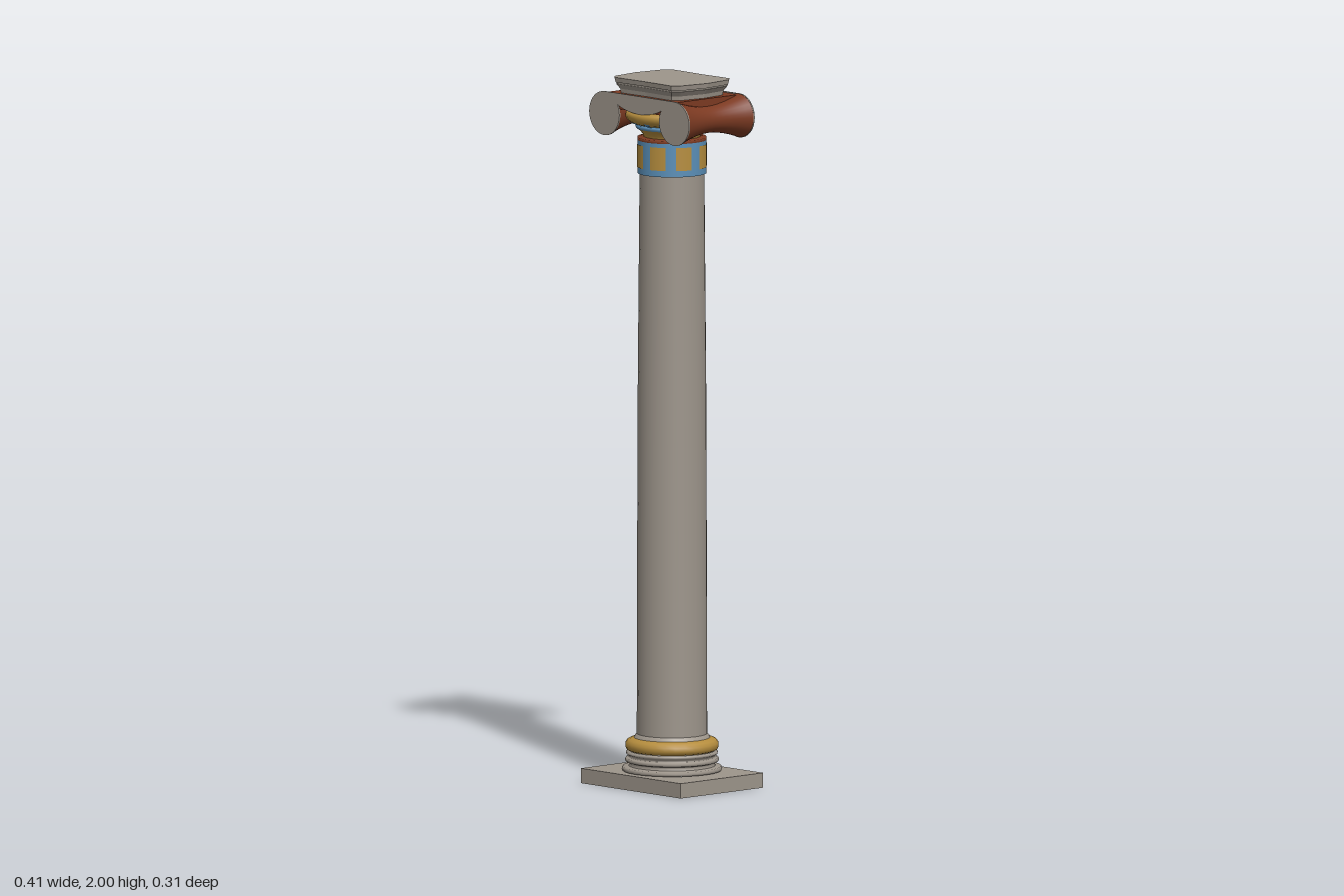
import * as THREE from 'three';

export function createModel() {
  const root = new THREE.Group();
  const mat = (name, color, side = THREE.FrontSide) => {
    const m = new THREE.MeshStandardMaterial({ color, side });
    m.name = name;
    return m;
  };
  const stone = mat('stone grey', 0x9d958b, THREE.DoubleSide);
  const gold = mat('ochre gold', 0xb58d3e, THREE.DoubleSide);
  const blue = mat('faded blue', 0x5a8fb8, THREE.DoubleSide);
  const red = mat('terracotta red', 0x7c3a22, THREE.DoubleSide);

  const add = (name, geometry, material, parent = root) => {
    const m = new THREE.Mesh(geometry, material);
    m.name = name;
    parent.add(m);
    return m;
  };
  // Turned part from [radius, height] pairs
  const turned = (name, pts, material, start = 0, sweep = Math.PI * 2, seg = 28) =>
    add(name, new THREE.LatheGeometry(pts.map(p => new THREE.Vector2(...p)), seg, start, sweep), material);

  // Plinth: hollow below, with a round opening under the column
  const W = 0.206, D = 0.157, H = 0.042;
  const top = new THREE.Shape([[-W, -D], [W, -D], [W, D], [-W, D]].map(p => new THREE.Vector2(...p)));
  top.holes.push(new THREE.Path().absarc(0, 0, 0.125, 0, Math.PI * 2, true));
  add('plinthTop', new THREE.ShapeGeometry(top, 24).rotateX(-Math.PI / 2).translate(0, H, 0), stone);
  for (const s of [-1, 1]) {
    const turn = s > 0 ? 0 : Math.PI;
    add('plinthSide', new THREE.PlaneGeometry(2 * W, H).translate(0, H / 2, D).rotateY(turn), stone);
    add('plinthSide', new THREE.PlaneGeometry(2 * D, H).translate(0, H / 2, W).rotateY(turn + Math.PI / 2), stone);
  }

  // Base mouldings, each ring with its own profile so that edges stay crisp
  turned('lowerBaseRing', [[0.125, 0.042], [0.139, 0.044], [0.141, 0.05], [0.138, 0.056], [0.122, 0.058]], stone);
  turned('baseHollow', [[0.122, 0.058], [0.119, 0.064], [0.122, 0.068]], stone);
  turned('middleBaseRing', [[0.122, 0.068], [0.13, 0.07], [0.132, 0.075], [0.13, 0.08], [0.122, 0.082]], stone);
  turned('upperBaseRing', [[0.122, 0.082], [0.119, 0.086], [0.128, 0.091], [0.129, 0.097], [0.12, 0.1]], stone);
  turned('goldBaseTorus', [[0.118, 0.1], [0.127, 0.104], [0.131, 0.112], [0.131, 0.122], [0.125, 0.131], [0.114, 0.136], [0.104, 0.138]], gold);
  turned('baseFillet', [[0.108, 0.136], [0.104, 0.143], [0.099, 0.148]], stone);

  // Tapering shaft
  turned('shaft', [[0.099, 0.146], [0.098, 0.6], [0.096, 1.15], [0.091, 1.74]], stone);

  // Painted neck with gold panels
  turned('neckUnderside', [[0.088, 1.732], [0.097, 1.732]], blue);
  turned('neckBand', [[0.097, 1.732], [0.097, 1.826]], blue);
  for (let i = 0; i < 8; i++) {
    const a = (i + 0.5) * Math.PI / 4, half = 0.24;
    turned('neckPanel', [[0.0985, 1.75], [0.0985, 1.815]], gold, a - half, half * 2, 5);
  }
  turned('redNeckRing', [[0.095, 1.826], [0.097, 1.826], [0.097, 1.834], [0.08, 1.836]], red);

  // Capital bowl
  turned('lowerBowl', [[0.08, 1.836], [0.082, 1.843], [0.089, 1.852], [0.099, 1.859]], gold);
  turned('blueBowlRing', [[0.099, 1.859], [0.102, 1.863], [0.102, 1.868], [0.098, 1.871]], blue);
  turned('upperBowl', [[0.098, 1.871], [0.114, 1.876], [0.126, 1.885], [0.131, 1.895], [0.129, 1.905], [0.118, 1.911], [0, 1.912]], gold);
  for (let i = 0; i < 16; i++) {
    turned('bowlPatch', [[0.101, 1.87], [0.115, 1.875], [0.1235, 1.8815]], blue, i * Math.PI / 8 + 0.12, 0.15, 3);
  }

  // Scrolled plates on front and back, with waisted bolsters between
  const cx = 0.144, cy = 1.897, R = 0.062, Z = 0.123, up = cy + R, end = Math.PI * 5 / 6;
  const plate = new THREE.Shape();
  plate.moveTo(-cx, up);
  plate.lineTo(cx, up);
  plate.absarc(cx, cy, R, Math.PI / 2, end, true);
  plate.quadraticCurveTo(0.06, 1.91, 0, 1.908);
  plate.quadraticCurveTo(-0.06, 1.91, -cx - R * Math.cos(end), cy + R * Math.sin(end));
  plate.absarc(-cx, cy, R, Math.PI - end, Math.PI / 2, true);
  for (const s of [-1, 1]) {
    const g = new THREE.ExtrudeGeometry(plate, { depth: 0.004, bevelEnabled: false, curveSegments: 28 });
    add(s > 0 ? 'frontScrollPlate' : 'backScrollPlate', g.translate(0, 0, s * Z - 0.002), stone);

    const profile = [];
    for (let i = 0; i <= 12; i++) {
      const t = i / 6 - 1;
      profile.push(new THREE.Vector2(0.037 + 0.0245 * Math.pow(Math.abs(t), 1.8), t * (Z - 0.002)));
    }
    add('bolster', new THREE.LatheGeometry(profile, 28).rotateX(Math.PI / 2).translate(s * cx, cy, 0), red);
  }
  add('bolsterBridge', new THREE.BoxGeometry(0.288, 0.042, 0.241).translate(0, 1.935, 0), red);

  // Abacus: cut-corner outline in stepped, flaring layers
  const quarter = [[0.149, 0], [0.136, 0.09], [0.134, 0.094], [0.117, 0.111], [0.085, 0.111], [0, 0.108]];
  const outline = [...quarter, ...quarter.slice(0, 5).reverse().map(([x, z]) => [-x, z])];
  outline.push(...outline.slice(1, -1).reverse().map(([x, z]) => [x, -z]));
  const layer = (name, y0, y1, s0, s1) => {
    const shape = new THREE.Shape(outline.map(p => new THREE.Vector2(...p)));
    const g = new THREE.ExtrudeGeometry(shape, { depth: y1 - y0, bevelEnabled: false });
    g.rotateX(-Math.PI / 2).translate(0, y0, 0);
    const p = g.attributes.position;
    for (let i = 0; i < p.count; i++) {
      const s = p.getY(i) < (y0 + y1) / 2 ? s0 : s1;
      p.setX(i, p.getX(i) * s);
      p.setZ(i, p.getZ(i) * s);
    }
    g.computeVertexNormals();
    add(name, g, stone);
  };
  layer('abacusFoot', 1.95, 1.968, 0.88, 0.9);
  layer('abacusFlare', 1.968, 1.982, 0.9, 0.97);
  layer('abacusFillet', 1.982, 1.986, 0.95, 0.95);
  layer('abacusSlab', 1.986, 2.0, 0.98, 1);

  return root;
}
